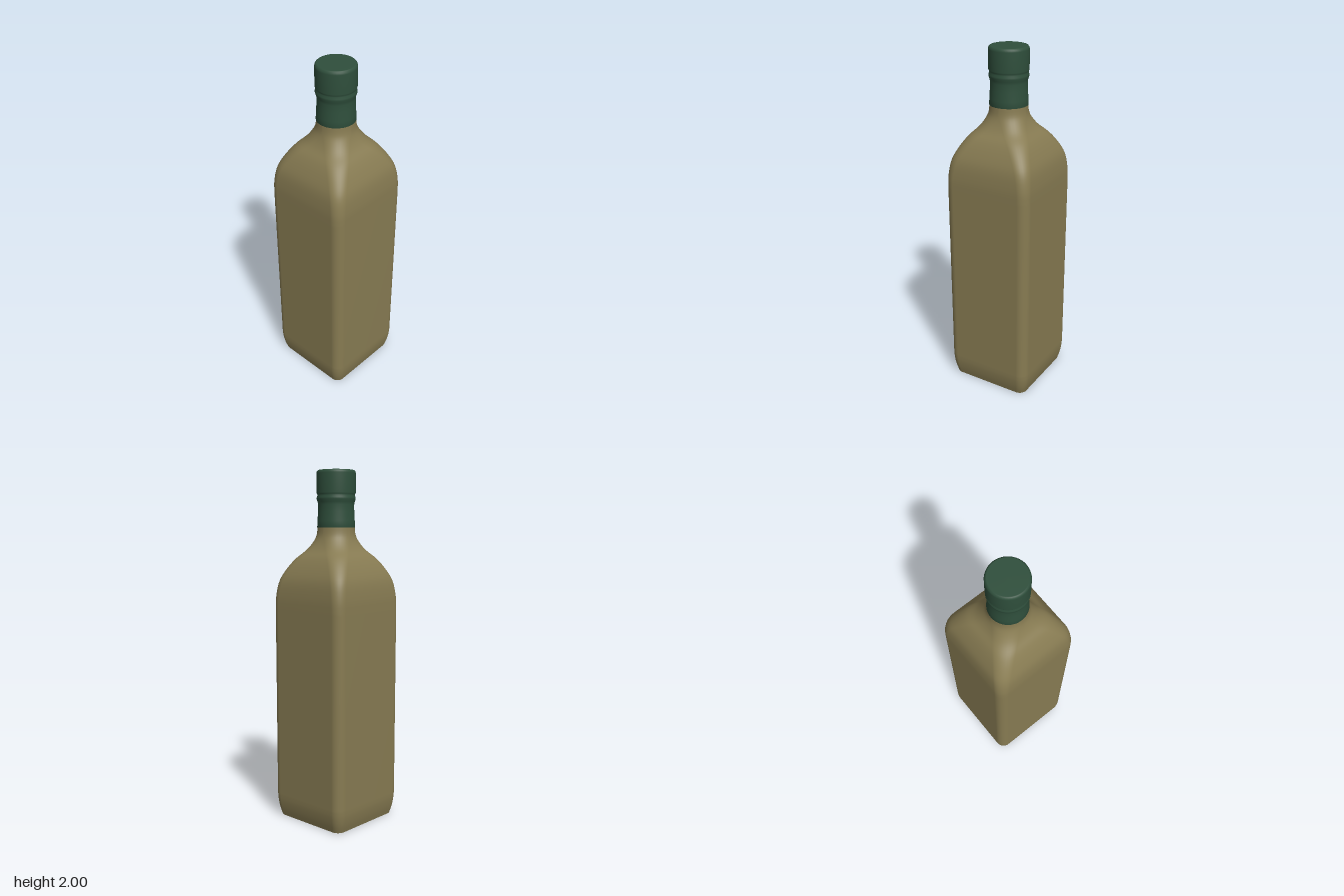
import * as THREE from 'three';

const CORNER_STEPS = 8;

// Rounded square outline of half-width w and corner radius r
function roundedSquare(w, r) {
  const points = [];
  for (let c = 0; c < 4; c++) {
    const mid = (c + 0.5) * Math.PI / 2;
    const cx = Math.sign(Math.cos(mid)) * (w - r);
    const cz = Math.sign(Math.sin(mid)) * (w - r);
    for (let i = 0; i <= CORNER_STEPS; i++) {
      const a = (c + i / CORNER_STEPS) * Math.PI / 2;
      points.push([cx + r * Math.cos(a), cz + r * Math.sin(a)]);
    }
  }
  return points;
}

// Skin between rounded-square sections given as (half-width, height, corner radius)
function loft(sections) {
  const positions = [], index = [];
  const n = 4 * (CORNER_STEPS + 1);
  sections.forEach((s, i) => {
    for (const [x, z] of roundedSquare(s.x, s.z)) positions.push(x, s.y, z);
    if (i === 0) return;
    for (let j = 0; j < n; j++) {
      const k = (j + 1) % n, lo = (i - 1) * n, hi = i * n;
      index.push(lo + j, hi + j, lo + k, hi + j, hi + k, lo + k);
    }
  });
  const geometry = new THREE.BufferGeometry();
  geometry.setAttribute('position', new THREE.Float32BufferAttribute(positions, 3));
  geometry.setIndex(index);
  geometry.computeVertexNormals();
  return geometry;
}

function smoothSections(list, steps) {
  const curve = new THREE.CatmullRomCurve3(list.map(p => new THREE.Vector3(...p)));
  return curve.getPoints(steps);
}

export function createModel() {
  const model = new THREE.Group();
  const glass = new THREE.MeshStandardMaterial({ color: 0x877b52 });
  glass.name = 'olive glass';
  const foil = new THREE.MeshStandardMaterial({ color: 0x2f4f3c });
  foil.name = 'dark green';

  const add = (name, geometry, material) => {
    const mesh = new THREE.Mesh(geometry, material);
    mesh.name = name;
    model.add(mesh);
    return mesh;
  };

  // Square body: tapered foot, straight sides, shoulder blending to a round neck
  const foot = smoothSections([
    [0.238, 0.004, 0.045], [0.25, 0.05, 0.05], [0.258, 0.1, 0.055], [0.26, 0.14, 0.055],
  ], 9);
  const shoulder = smoothSections([
    [0.26, 1.22, 0.055], [0.258, 1.3, 0.057], [0.245, 1.39, 0.064], [0.216, 1.46, 0.074],
    [0.183, 1.515, 0.084], [0.145, 1.56, 0.092], [0.122, 1.6, 0.097],
    [0.109, 1.64, 0.104], [0.103, 1.7, 0.101],
  ], 32);
  add('body', loft([...foot, ...shoulder]), glass);

  // Flat base
  const rim = roundedSquare(0.238, 0.045).map(([x, z]) => new THREE.Vector2(x, z));
  const base = add('base', new THREE.ShapeGeometry(new THREE.Shape(rim)), glass);
  base.rotation.x = Math.PI / 2;
  base.position.y = 0.004;

  // Capsule sleeve: flared skirt, waist, ring, and straight cap with a rounded rim
  const profile = [
    [0.1, 1.685], [0.107, 1.685], [0.105, 1.72], [0.102, 1.77], [0.101, 1.81],
    [0.104, 1.826], [0.109, 1.84], [0.109, 1.85], [0.105, 1.86], [0.106, 1.868],
    [0.11, 1.876], [0.11, 1.982], [0.108, 1.992], [0.102, 1.999], [0.098, 2], [0, 2],
  ].map(p => new THREE.Vector2(...p));
  add('cap', new THREE.LatheGeometry(profile, 48), foil);

  return model;
}
